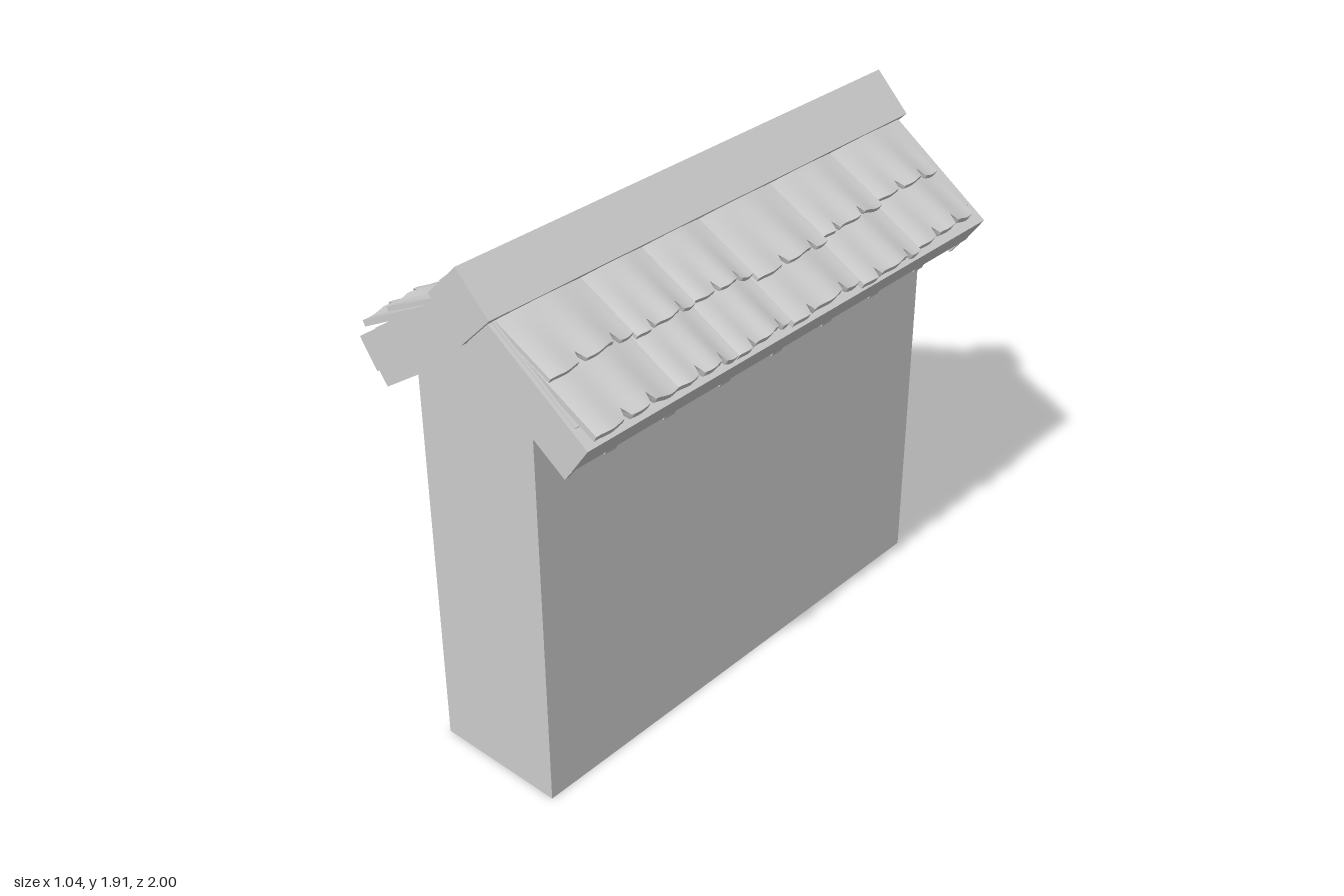
import * as THREE from 'three';

const grey = new THREE.MeshStandardMaterial({ color: 0xcccccc });

// Prism: an outline in x/y extruded from z0 to z1
function prism(name, points, z0, z1) {
  const shape = new THREE.Shape(points.map(([x, y]) => new THREE.Vector2(x, y)));
  const geo = new THREE.ExtrudeGeometry(shape, { depth: z1 - z0, bevelEnabled: false });
  geo.translate(0, 0, z0);
  const mesh = new THREE.Mesh(geo, grey);
  mesh.name = name;
  return mesh;
}

// Symmetric gable outline from its right-hand half (apex first, lower apex last)
function chevron(half) {
  const inner = half.slice(1, -1).reverse().map(([x, y]) => [-x, y]);
  return [...half, ...inner];
}

function seeded(seed) {
  return () => (seed = (seed * 16807) % 2147483647) / 2147483647;
}

// Curved tile with a worn, notched lower edge, running down from a to b
function tile(a, b, z0, z1, thick, rand) {
  const N = 24;
  const geo = new THREE.BoxGeometry(1, 1, 1, 4, 1, N);
  const p = geo.attributes.position;
  const dx = b[0] - a[0], dy = b[1] - a[1], len = Math.hypot(dx, dy);
  const nx = -dy / len, ny = dx / len;
  const skew = (rand() - 0.3) * 0.03;
  const notches = [5 + Math.floor(rand() * 5), 15 + Math.floor(rand() * 5)];
  for (let i = 0; i < p.count; i++) {
    const t = p.getX(i) + 0.5, u = p.getZ(i) + 0.5;
    const k = Math.round(u * N);
    let along = t * len;
    if (t > 0.99) {
      along += skew * (u - 0.5) + 0.004 * Math.sin(u * 17);
      if (notches.includes(k)) along -= 0.035;
    }
    const wave = 0.012 * Math.sin(Math.PI * u) - 0.005 * Math.sin(4 * Math.PI * u) * t - 0.006;
    const up = wave + (p.getY(i) - 0.5) * thick;
    p.setXYZ(i, a[0] + dx / len * along + nx * up,
      a[1] + dy / len * along + ny * up, z0 + (z1 - z0) * u);
  }
  geo.computeVertexNormals();
  const mesh = new THREE.Mesh(geo, grey);
  mesh.name = 'roofTile';
  return mesh;
}

export function createModel() {
  const model = new THREE.Group();
  model.name = 'roofedWall';

  // Wall with a gabled top hidden under the roof
  model.add(prism('wall',
    [[-0.25, 0], [0.25, 0], [0.25, 1.48], [0, 1.65], [-0.25, 1.48]], -0.96, 0.965));

  // Roof deck
  model.add(prism('roofDeck',
    chevron([[0, 1.83], [0.495, 1.49], [0.425, 1.39], [0, 1.68]]), -0.985, 0.985));

  // Gable boards at both ends
  const board = chevron([[0, 1.7], [0.435, 1.405], [0.39, 1.345], [0, 1.61]]);
  model.add(prism('frontGableBoard', board, 0.962, 0.978));
  model.add(prism('backGableBoard', board, -0.962, -0.945));

  // Rafters showing just below the deck
  const rafter = chevron([[0, 1.7], [0.425, 1.4], [0.412, 1.37], [0, 1.65]]);
  for (let i = 0; i < 7; i++) {
    const z = 0.81 - i * 0.255;
    model.add(prism('rafter', rafter, z - 0.025, z + 0.025));
  }

  // Square ridge beam set on its corner
  model.add(prism('ridgeBeam',
    [[0, 1.65], [0.13, 1.78], [0, 1.91], [-0.13, 1.78]], -1, 1));

  // Two overlapping rows of tiles on each slope
  const rand = seeded(77);
  const slopes = [
    ['rightSlopeTiles', 0, [-0.92, -0.59, -0.27, 0.08, 0.345, 0.61, 0.96]],
    ['leftSlopeTiles', Math.PI, [-0.96, -0.66, -0.35, -0.035, 0.27, 0.58, 0.92]],
  ];
  for (const [name, angle, cols] of slopes) {
    const slope = new THREE.Group();
    slope.name = name;
    slope.rotation.y = angle;
    // Backing sheet under the tiles
    slope.add(prism('backingSheet',
      [[0.1, 1.75], [0.43, 1.525], [0.433, 1.536], [0.1, 1.765]], -0.97, 0.97));
    for (let i = 0; i < 6; i++) {
      const reach = 0.33 + rand() * 0.05, drop = rand() * 0.02;
      slope.add(tile([0.1, 1.772], [reach, 1.772 - (reach - 0.1) * 0.5],
        cols[i], cols[i + 1], 0.016, rand));
      slope.add(tile([0.18, 1.712], [0.495 + drop, 1.545 - drop * 0.55],
        cols[i], cols[i + 1], 0.022, rand));
    }
    model.add(slope);
  }
  return model;
}
